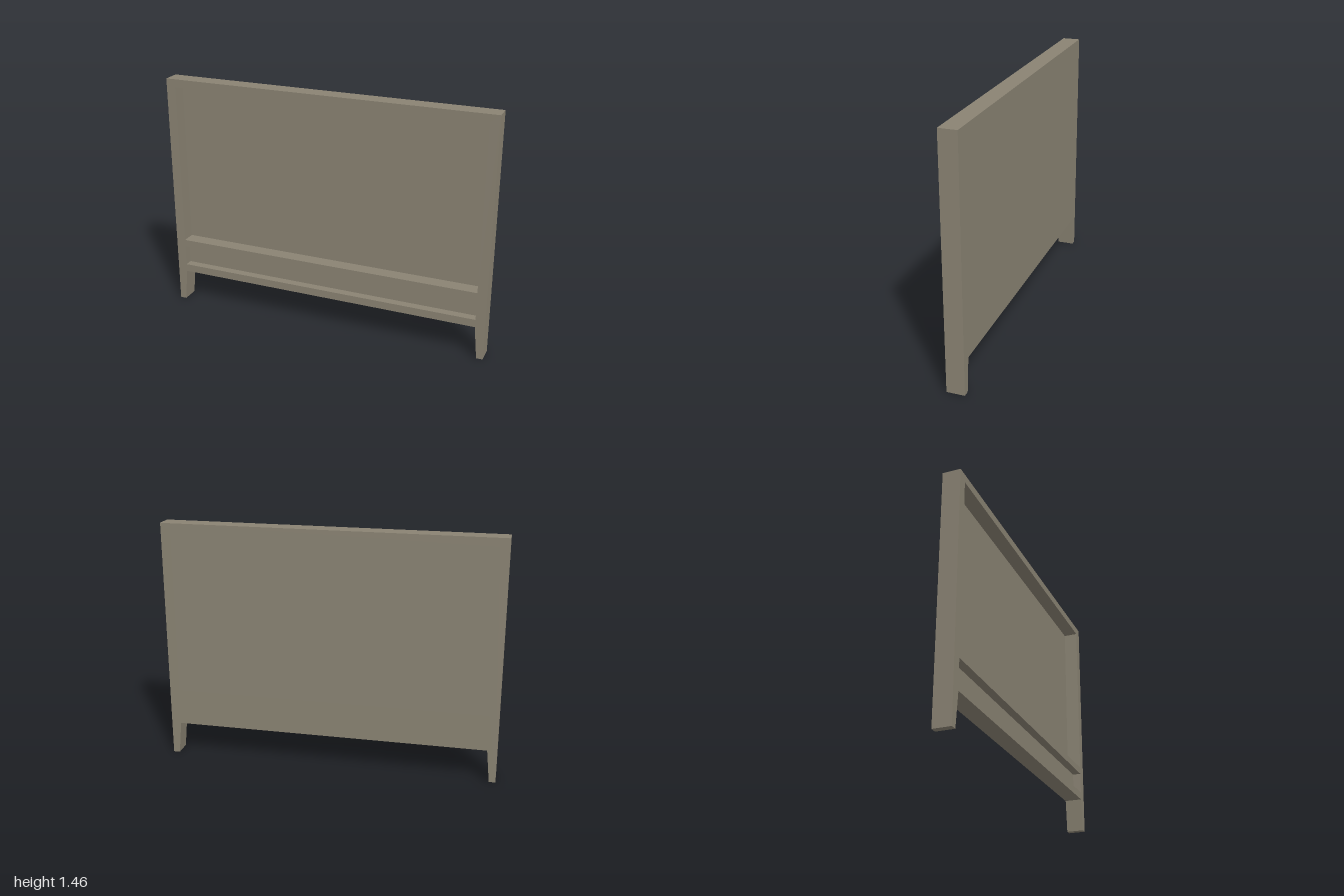
import * as THREE from 'three';

const HALF_DEPTH = 0.0525;
const TOP = 1.455;
const INNER = 0.943; // half width of both recesses

// Recessed panels: vertical extent and how far they sit behind the front face
const PANELS = [
  { name: 'mainPanel', y0: 0.417, y1: 1.407, recess: 0.085 },
  { name: 'lowerPanel', y0: 0.247, y1: 0.374, recess: 0.05 },
];

function rectanglePath(x0, y0, x1, y1) {
  return new THREE.Path([
    new THREE.Vector2(x0, y0),
    new THREE.Vector2(x0, y1),
    new THREE.Vector2(x1, y1),
    new THREE.Vector2(x1, y0),
  ]);
}

export function createModel() {
  const model = new THREE.Group();
  model.name = 'headboard';

  const wood = new THREE.MeshStandardMaterial({ color: 0x8a8373 });
  wood.name = 'greyBrownWood';

  // Frame outline, including the two tapered legs
  const right = [[0.942, 0.2], [0.962, 0], [1, 0], [1, TOP]];
  const left = right.map(([x, y]) => [-x, y]).reverse();
  const outline = new THREE.Shape(
    [...right, ...left].map(([x, y]) => new THREE.Vector2(x, y))
  );
  for (const p of PANELS) outline.holes.push(rectanglePath(-INNER, p.y0, INNER, p.y1));

  const frameGeometry = new THREE.ExtrudeGeometry(outline, {
    depth: 2 * HALF_DEPTH,
    bevelEnabled: false,
  });
  frameGeometry.translate(0, 0, -HALF_DEPTH);
  const frame = new THREE.Mesh(frameGeometry, wood);
  frame.name = 'frameWithLegs';
  model.add(frame);

  // Panels fill the openings, flush with the back
  for (const p of PANELS) {
    const depth = 2 * HALF_DEPTH - p.recess;
    const panel = new THREE.Mesh(
      new THREE.BoxGeometry(2 * INNER, p.y1 - p.y0, depth),
      wood
    );
    panel.position.set(0, (p.y0 + p.y1) / 2, -HALF_DEPTH + depth / 2);
    panel.name = p.name;
    model.add(panel);
  }

  return model;
}
